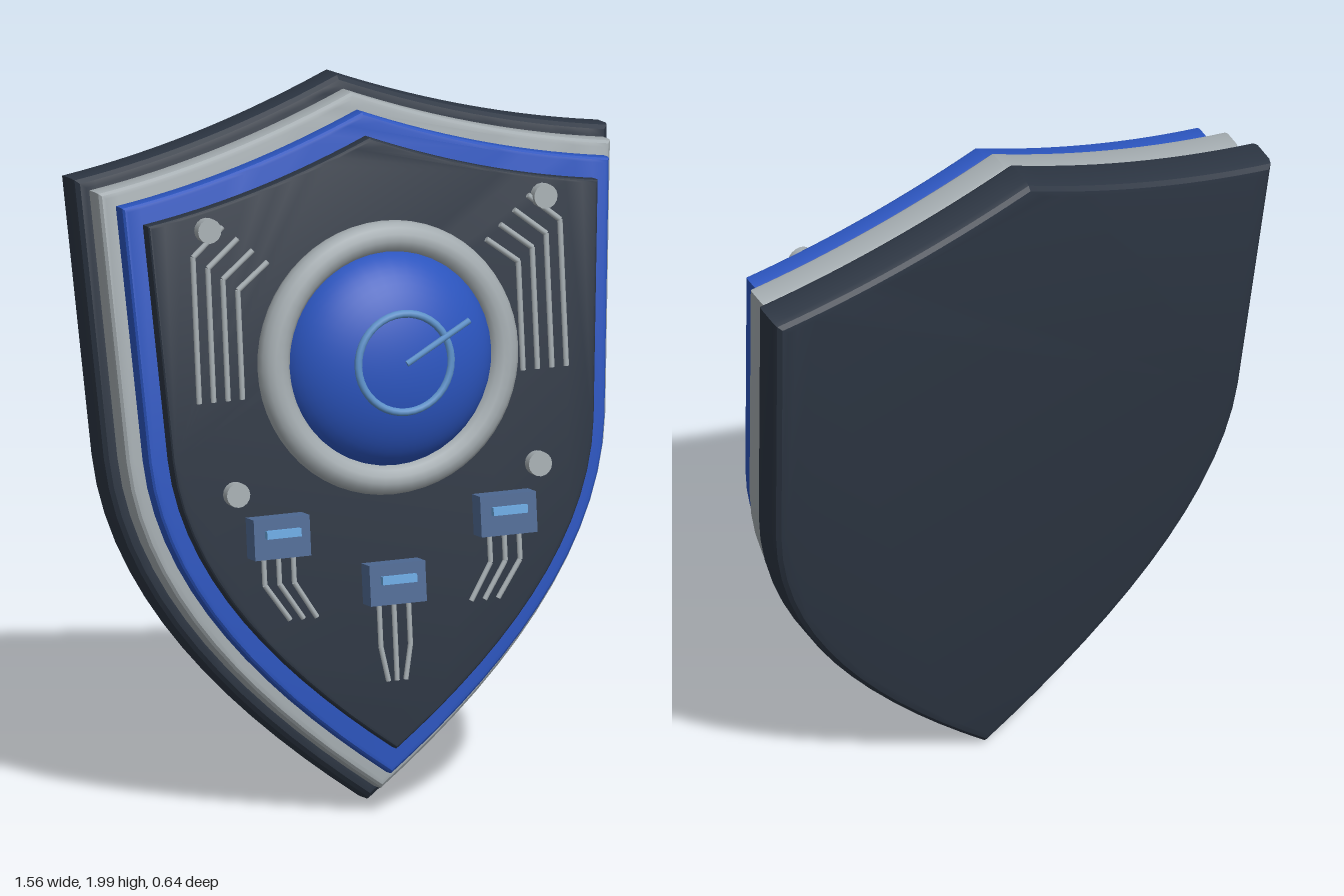
import * as THREE from 'three';
import { toCreasedNormals } from 'three/addons/utils/BufferGeometryUtils.js';

const TILT = 0.12;
const C = Math.cos(TILT), S = Math.sin(TILT);

function material(name, color) {
  const m = new THREE.MeshStandardMaterial({ color });
  m.name = name;
  return m;
}

// Upright height y at shield depth z, converted to the leaning shield's own frame
const at = (x, y, z) => new THREE.Vector3(x, (y - z * S) / C, z);

// Heater shield outline, scaled about its middle
function outline(k) {
  const X = x => x * k, Y = y => 1.09 + (y - 1.09) * k;
  const s = new THREE.Shape();
  s.moveTo(0, Y(2.01));
  s.quadraticCurveTo(X(0.39), Y(1.85), X(0.78), Y(1.795));
  s.lineTo(X(0.73), Y(1.02));
  s.bezierCurveTo(X(0.7), Y(0.62), X(0.37), Y(0.28), 0, Y(0.01));
  s.bezierCurveTo(X(-0.37), Y(0.28), X(-0.7), Y(0.62), X(-0.73), Y(1.02));
  s.lineTo(X(-0.78), Y(1.795));
  s.quadraticCurveTo(X(-0.39), Y(1.85), 0, Y(2.01));
  return s;
}

function plateGeometry(k, back, front, bevel) {
  const g = new THREE.ExtrudeGeometry(outline(k), {
    depth: front - back - 2 * bevel, curveSegments: 14, bevelEnabled: true,
    bevelSize: bevel, bevelThickness: bevel, bevelOffset: -bevel, bevelSegments: 3,
  });
  g.translate(0, 0, back + bevel);
  return toCreasedNormals(g, 0.45);
}

export function createModel() {
  const dark = material('dark slate', 0x2c3542);
  const silver = material('silver grey', 0xa3abaf);
  const blue = material('royal blue', 0x2b54bd);
  const steel = material('steel blue', 0x4f6a94);
  const light = material('light blue', 0x6aa8e0);
  const emblemBlue = material('emblem blue', 0x5c90c8);

  const model = new THREE.Group();
  model.name = 'shield';
  const body = new THREE.Group();
  body.name = 'leaningBody';
  body.rotation.x = -TILT;
  model.add(body);

  const add = (name, geometry, mat, pos) => {
    const m = new THREE.Mesh(geometry, mat);
    m.name = name;
    if (pos) m.position.copy(pos);
    body.add(m);
    return m;
  };

  // Round rod between two points
  const rod = (name, a, b, r, mat) => {
    const d = b.clone().sub(a);
    const m = add(name, new THREE.CylinderGeometry(r, r, d.length(), 8), mat, a.clone().lerp(b, 0.5));
    m.quaternion.setFromUnitVectors(new THREE.Vector3(0, 1, 0), d.normalize());
  };
  const wire = (name, pts, r) => {
    for (let i = 1; i < pts.length; i++) rod(name, pts[i - 1], pts[i], r, silver);
  };

  // Stacked shield plates
  add('backPlate', plateGeometry(1, -0.077, 0.046, 0.03), dark);
  add('silverPlate', plateGeometry(0.96, 0.052, 0.14, 0.02), silver);
  add('bluePlate', plateGeometry(0.912, 0.156, 0.22, 0.015), blue);
  add('facePlate', plateGeometry(0.842, 0.217, 0.267, 0.01), dark);

  // Central dome with its rim
  const hub = new THREE.Vector3(0, 1.267, 0.3);
  const dome = new THREE.SphereGeometry(0.305, 40, 16, 0, Math.PI * 2, 0, Math.PI / 2);
  dome.rotateX(Math.PI / 2);
  dome.scale(1, 1, 0.168 / 0.305);
  add('dome', dome, blue, hub);
  add('domeRim', new THREE.TorusGeometry(0.333, 0.044, 14, 56), silver,
    new THREE.Vector3(0, hub.y, 0.325));

  // Dial ring and pointer on the dome
  add('dialRing', new THREE.TorusGeometry(0.135, 0.011, 10, 40), emblemBlue,
    new THREE.Vector3(0, hub.y + 0.002, 0.452));
  rod('dialPointer', at(0, 1.315, 0.468), at(0.192, 1.412, 0.455), 0.009, emblemBlue);

  // Chip with a light slot
  const chip = (x, y) => {
    add('chip', new THREE.BoxGeometry(0.163, 0.112, 0.064), steel, at(x, y, 0.296));
    add('chipLight', new THREE.BoxGeometry(0.1, 0.022, 0.018), light, at(x, y + 0.018, 0.336));
  };

  const stud = (x, y) => {
    const g = new THREE.CylinderGeometry(0.034, 0.034, 0.034, 16);
    g.rotateX(Math.PI / 2);
    add('stud', g, silver, at(x, y, 0.28));
  };

  for (const s of [-1, 1]) {
    // Bent traces beside the dome
    for (let i = 0; i < 4; i++) {
      const x = 0.535 - 0.042 * i;
      wire('trace', [
        at(s * x, 1.21, 0.277),
        at(s * x, 1.61 - 0.034 * i, 0.277),
        at(s * (x - 0.09), 1.685 - 0.036 * i, 0.277),
      ], 0.008);
    }
    stud(s * 0.49, 1.68);
    stud(s * 0.44, 0.953);

    // Side chips with bent leads
    chip(s * 0.33, 0.832);
    for (let i = 0; i < 3; i++) {
      const x = 0.372 - 0.043 * i;
      wire('chipLead', [
        at(s * x, 0.79, 0.288),
        at(s * x, 0.7, 0.288),
        at(s * (0.303 - 0.039 * i), 0.6, 0.288),
      ], 0.0075);
    }
  }

  // Centre chip with converging leads
  chip(0, 0.675);
  for (const i of [-1, 0, 1]) {
    wire('chipLead', [
      at(i * 0.043, 0.63, 0.288),
      at(i * 0.043, 0.5, 0.288),
      at(i * 0.025, 0.405, 0.288),
    ], 0.0075);
  }

  return model;
}
